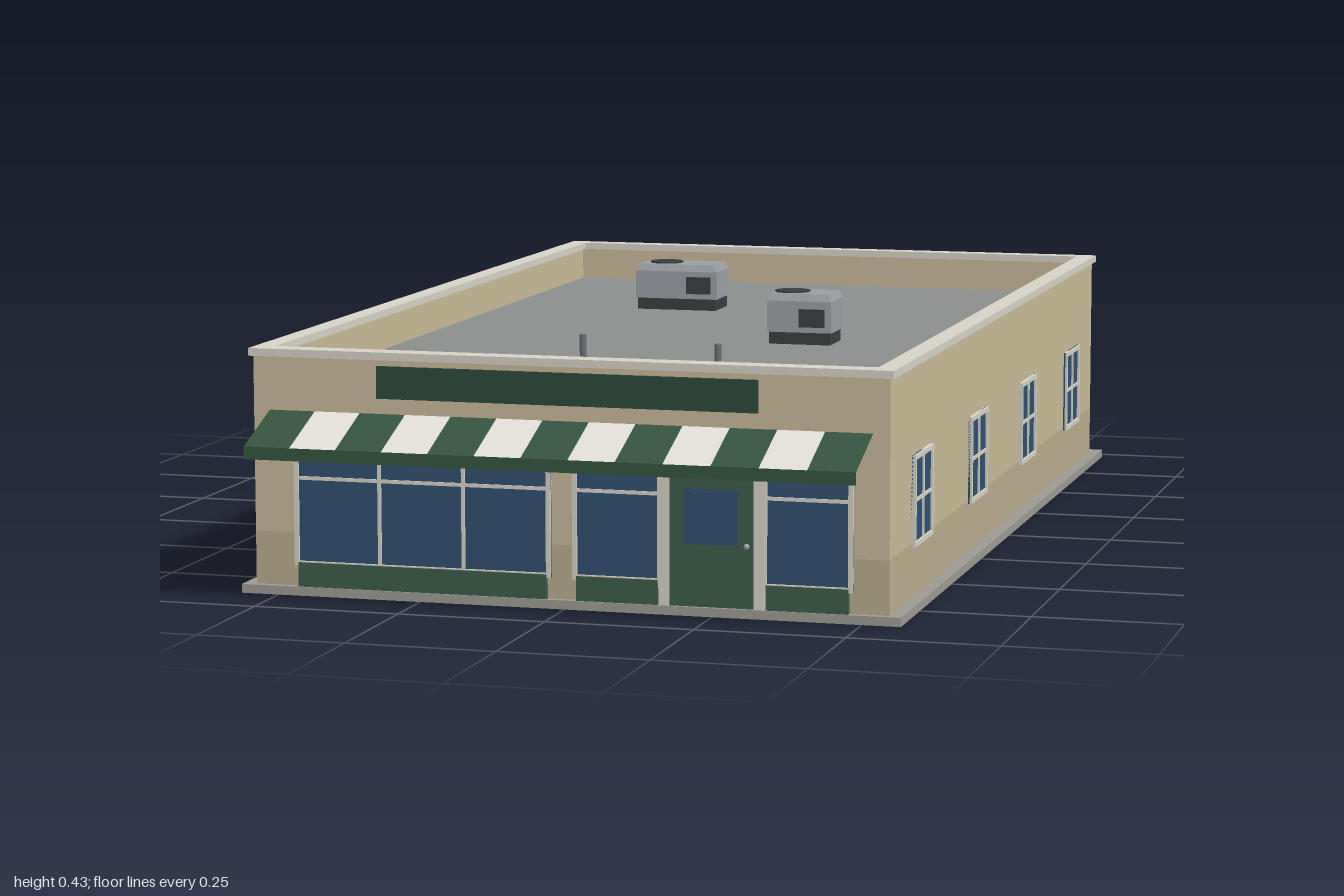
import * as THREE from 'three';

const mat = (color, side = THREE.FrontSide) => new THREE.MeshStandardMaterial({ color, side });
const M = {
  wall: mat(0xc8ba98), base: mat(0xb9ab8c), trim: mat(0xd6d2c6), slab: mat(0x9c9a92),
  roof: mat(0x8b8e8c), glass: mat(0x2f5070), green: mat(0x3a5c48), sign: mat(0x2c4a3a),
  metal: mat(0x9a9fa4), dark: mat(0x3a3d40), pipe: mat(0x6a6e72), shutter: mat(0x8f9398),
  awningGreen: mat(0x34543f, THREE.DoubleSide), awningWhite: mat(0xe2dfd8, THREE.DoubleSide),
};
const FRONT = 0.88, BACK = -0.942, SIDE = 0.543;

function add(parent, name, geo, material, x = 0, y = 0, z = 0) {
  const m = new THREE.Mesh(geo, material);
  m.name = name;
  m.position.set(x, y, z);
  parent.add(m);
  return m;
}

// Box given by its limits on each axis
function box(parent, name, material, x0, x1, y0, y1, z0, z1) {
  return add(parent, name, new THREE.BoxGeometry(x1 - x0, y1 - y0, z1 - z0), material,
    (x0 + x1) / 2, (y0 + y1) / 2, (z0 + z1) / 2);
}

// Rectangular ring of walls, seen from above, raised from y0 to y1
function ring(parent, name, material, outer, inner, y0, y1) {
  const rect = (P, [x0, x1, z0, z1]) => new P([
    [x0, -z1], [x1, -z1], [x1, -z0], [x0, -z0]].map(p => new THREE.Vector2(...p)));
  const shape = rect(THREE.Shape, outer);
  shape.holes.push(rect(THREE.Path, inner));
  const geo = new THREE.ExtrudeGeometry(shape, { depth: y1 - y0, bevelEnabled: false });
  geo.rotateX(-Math.PI / 2);
  return add(parent, name, geo, material, 0, y0, 0);
}

// Framed window facing +z with its back on z = 0; bars at the given x and y
function makeWindow(name, x0, x1, y0, y1, barsX, barsY, t = 0.008, d = 0.007) {
  const g = new THREE.Group();
  g.name = name;
  box(g, 'glass', M.glass, x0, x1, y0, y1, -0.002, 0.003);
  for (const [a, b] of [[x0, x0 + t], [x1 - t, x1]]) box(g, 'frameSide', M.trim, a, b, y0, y1, -0.002, d);
  for (const [a, b] of [[y0, y0 + t], [y1 - t, y1]]) box(g, 'frameRail', M.trim, x0 + t, x1 - t, a, b, -0.002, d);
  for (const x of barsX) box(g, 'mullion', M.trim, x - 0.003, x + 0.003, y0 + t, y1 - t, 0, d - 0.001);
  for (const y of barsY) box(g, 'transom', M.trim, x0 + t, x1 - t, y - 0.003, y + 0.003, 0, d - 0.0015);
  return g;
}

function makeShell(g) {
  box(g, 'foundationSlab', M.slab, -0.565, 0.565, 0, 0.015, -0.965, 0.892);
  box(g, 'lowerWall', M.base, -SIDE, SIDE, 0.015, 0.105, BACK, FRONT);
  ring(g, 'upperWall', M.wall, [-SIDE, SIDE, BACK, FRONT], [-0.522, 0.522, -0.92, 0.855], 0.105, 0.4);
  ring(g, 'coping', M.trim, [-0.55, 0.55, -0.948, 0.886], [-0.516, 0.516, -0.916, 0.848], 0.4, 0.413);
  box(g, 'roof', M.roof, -0.522, 0.522, 0.325, 0.34, -0.92, 0.855);
}

function makeStorefront() {
  const g = new THREE.Group();
  g.name = 'storefront';
  g.position.z = FRONT;
  // Display windows with green panels beneath
  const bays = [[-0.472, -0.025, [-0.322, -0.176]], [0.012, 0.165, []], [0.333, 0.484, []]];
  for (const [x0, x1, bars] of bays) {
    g.add(makeWindow('displayWindow', x0, x1, 0.05, 0.27, bars, [0.198]));
    box(g, 'kickPanel', M.green, x0 + 0.007, x1 - 0.007, 0.015, 0.056, -0.002, 0.009);
  }
  // Entrance door
  for (const x of [0.159, 0.319]) box(g, 'doorJamb', M.trim, x, x + 0.019, 0.015, 0.25, -0.002, 0.0075);
  box(g, 'doorHead', M.trim, 0.178, 0.319, 0.233, 0.25, -0.002, 0.0075);
  box(g, 'entranceDoor', M.green, 0.177, 0.32, 0.015, 0.233, -0.002, 0.006);
  box(g, 'doorGlass', M.glass, 0.203, 0.293, 0.118, 0.21, 0, 0.0075);
  add(g, 'doorKnob', new THREE.SphereGeometry(0.005, 12, 8), M.metal, 0.308, 0.118, 0.009);
  box(g, 'signBoard', M.sign, -0.325, 0.325, 0.336, 0.39, -0.002, 0.006);
  return g;
}

function makeAwning() {
  const g = new THREE.Group();
  g.name = 'awning';
  const n = 13, half = 0.515, w = 2 * half / n;
  const drop = 0.045, reach = 1 - FRONT;
  for (let i = 0; i < n; i++) {
    const panel = new THREE.PlaneGeometry(w, Math.hypot(drop, reach));
    panel.rotateX(-Math.atan2(reach, drop));
    add(g, 'awningStripe', panel, i % 2 ? M.awningWhite : M.awningGreen,
      -half + (i + 0.5) * w, 0.31 - drop / 2, FRONT + reach / 2);
  }
  add(g, 'valance', new THREE.PlaneGeometry(2 * half, 0.021), M.awningGreen, 0, 0.255, 1);
  return g;
}

function makeRear() {
  const g = new THREE.Group();
  g.name = 'rearWall';
  g.position.z = BACK;
  g.rotation.y = Math.PI; // local +x is the model's right
  for (const x of [-0.01, 0.36])
    g.add(makeWindow('rearWindow', x - 0.07, x + 0.07, 0.099, 0.252, [x], [0.176]));
  // Roller shutter with slats
  box(g, 'rollerShutter', M.shutter, 0.055, 0.3, 0.015, 0.26, -0.002, 0.005);
  for (let i = 0; i < 11; i++)
    box(g, 'shutterSlat', M.shutter, 0.06, 0.295, 0.019 + i * 0.022, 0.036 + i * 0.022, 0, 0.008);
  box(g, 'shutterHousing', M.metal, 0.048, 0.307, 0.258, 0.28, -0.002, 0.012);
  for (const x of [0.048, 0.299]) box(g, 'shutterGuide', M.metal, x, x + 0.008, 0.015, 0.258, -0.002, 0.01);
  // Service door
  box(g, 'serviceDoorFrame', M.trim, 0.367, 0.474, 0.015, 0.207, -0.002, 0.008);
  box(g, 'serviceDoor', M.green, 0.373, 0.468, 0.015, 0.201, 0, 0.012);
  add(g, 'serviceDoorKnob', new THREE.SphereGeometry(0.004, 10, 8), M.metal, 0.385, 0.11, 0.013);
  for (const x of [-0.512, 0.512])
    add(g, 'downpipe', new THREE.CylinderGeometry(0.008, 0.008, 0.385, 12), M.pipe, x, 0.2075, 0.007);
  // Ground level condenser
  box(g, 'condenser', M.metal, -0.204, -0.12, 0.02, 0.097, 0.01, 0.058);
  box(g, 'condenserFoot', M.dark, -0.196, -0.128, 0.014, 0.02, 0, 0.05);
  return g;
}

// Rooftop air unit: dark curb, chamfered housing, fan and grille
function makeAirUnit(x0, x1, z0, z1, top, fanX) {
  const g = new THREE.Group();
  g.name = 'rooftopAirUnit';
  const c = 0.006, w = x1 - x0, d = z1 - z0, cx = (x0 + x1) / 2, cz = (z0 + z1) / 2;
  box(g, 'curb', M.dark, x0 + 0.003, x1 - 0.003, 0.34, 0.362, z0 + 0.003, z1 - 0.003);
  box(g, 'housing', M.metal, x0, x1, 0.362, top - 0.015, z0, z1);
  const cap = new THREE.BoxGeometry(w, 0.013, d), p = cap.attributes.position;
  for (let i = 0; i < p.count; i++) {
    if (p.getY(i) > 0) {
      p.setX(i, p.getX(i) - Math.sign(p.getX(i)) * c);
      p.setZ(i, p.getZ(i) - Math.sign(p.getZ(i)) * c);
    }
  }
  cap.computeVertexNormals();
  add(g, 'housingTop', cap, M.metal, cx, top - 0.0085, cz);
  add(g, 'fan', new THREE.CylinderGeometry(0.032, 0.032, 0.003, 24), M.dark, fanX, top - 0.001, cz);
  box(g, 'grille', M.dark, x1 - 0.06, x1 - 0.012, 0.372, 0.405, z1 - 0.002, z1 + 0.002);
  return g;
}

export function createModel() {
  const model = new THREE.Group();
  model.name = 'shopBuilding';
  makeShell(model);
  model.add(makeStorefront(), makeAwning(), makeRear());

  // Four windows along each long side
  for (const s of [-1, 1]) {
    for (const z of [0.65, 0.195, -0.26, -0.713]) {
      const win = makeWindow('sideWindow', -0.07, 0.07, 0.099, 0.252, [0], [0.176]);
      win.position.set(s * SIDE, 0, z);
      win.rotation.y = s * Math.PI / 2;
      model.add(win);
    }
  }

  // Roof equipment
  model.add(makeAirUnit(-0.26, -0.098, -0.508, -0.416, 0.43, -0.21));
  model.add(makeAirUnit(0.122, 0.242, -0.047, 0.043, 0.434, 0.159));
  for (const [x, z] of [[-0.074, 0.54], [0.183, 0.606]])
    add(model, 'ventPipe', new THREE.CylinderGeometry(0.006, 0.006, 0.072, 12), M.pipe, x, 0.374, z);
  box(model, 'hatchCurb', M.metal, 0.32, 0.4, 0.34, 0.356, 0.575, 0.655);
  box(model, 'roofHatch', M.metal, 0.315, 0.405, 0.356, 0.366, 0.57, 0.66);
  return model;
}
